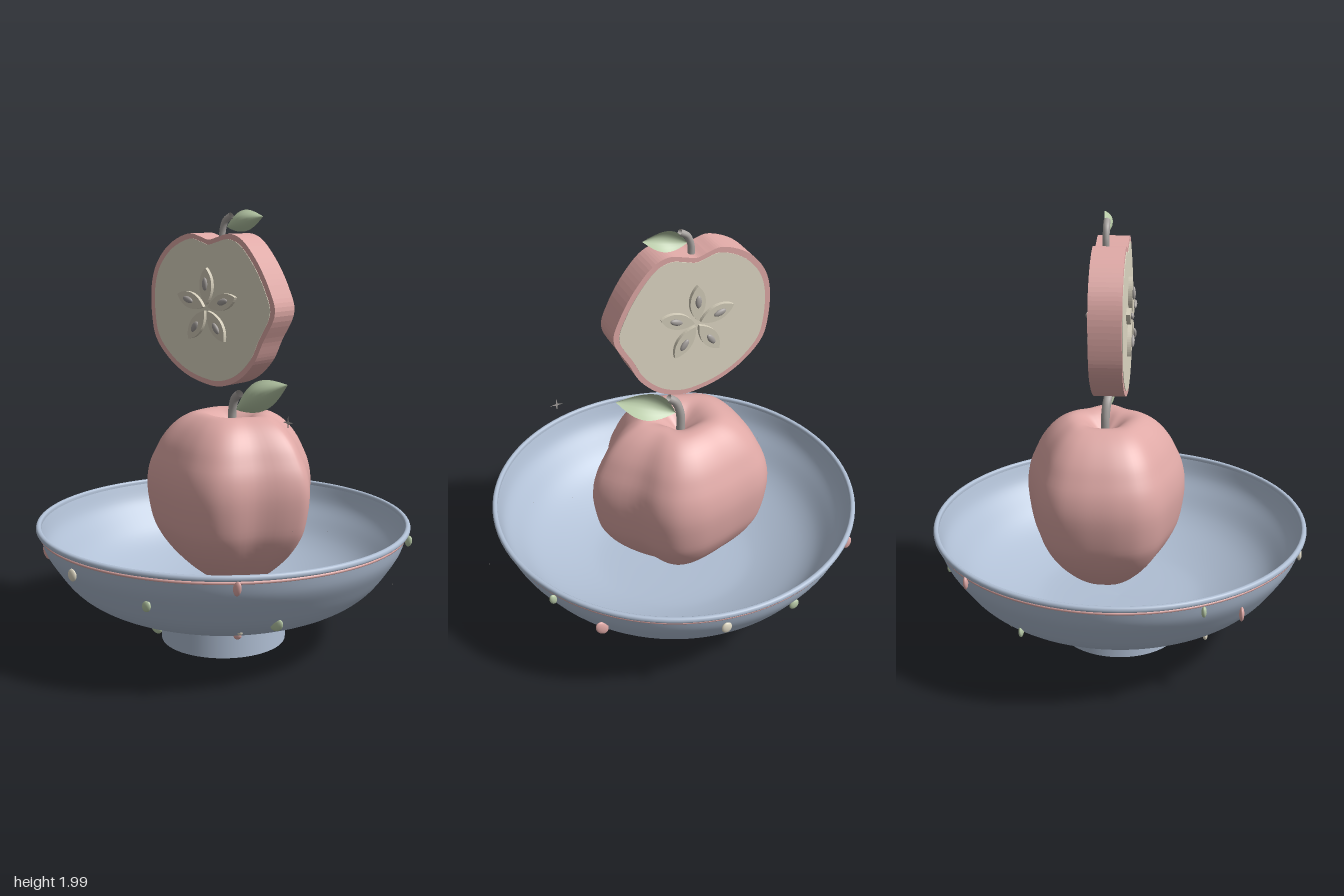
import * as THREE from 'three';
import { mergeVertices } from 'three/addons/utils/BufferGeometryUtils.js';

const mat = (name, color, side = THREE.FrontSide) => {
  const m = new THREE.MeshStandardMaterial({ color, side });
  m.name = name;
  return m;
};
const V2 = (p) => new THREE.Vector2(p[0], p[1]);
const V3 = (p) => new THREE.Vector3(p[0], p[1], p[2]);
const smooth = (pts, n) => new THREE.SplineCurve(pts.map(V2)).getPoints(n);

export function createModel() {
  const model = new THREE.Group();
  const blue = mat('glaze blue', 0xb0bfd4);
  const pink = mat('apple pink', 0xdfa9a6);
  const cream = mat('flesh cream', 0xdfd8c4);
  const pocketCream = mat('pocket cream', 0xd3ccb9);
  const green = mat('leaf green', 0xb6c8a6, THREE.DoubleSide);
  const grey = mat('stem grey', 0xa5a09d, THREE.DoubleSide);

  const add = (name, geo, m, pos = [0, 0, 0], parent = model) => {
    const mesh = new THREE.Mesh(geo, m);
    mesh.name = name;
    mesh.position.set(...pos);
    parent.add(mesh);
    return mesh;
  };

  // Bowl: foot, outer wall, lip and inner wall
  const cx = -0.033;
  add('bowlFoot', new THREE.CylinderGeometry(0.293, 0.293, 0.135, 64), blue, [cx, 0.0675, 0]);
  const outer = smooth([[0, 0.13], [0.33, 0.134], [0.41, 0.155], [0.47, 0.177], [0.62, 0.24],
    [0.715, 0.31], [0.79, 0.41], [0.83, 0.48], [0.85, 0.55]], 40);
  const inner = smooth([[0.842, 0.56], [0.815, 0.48], [0.765, 0.41], [0.69, 0.325],
    [0.59, 0.26], [0.44, 0.2], [0.3, 0.175], [0, 0.165]], 40);
  const lip = smooth([[0.85, 0.553], [0.863, 0.557], [0.866, 0.567], [0.862, 0.577],
    [0.852, 0.58], [0.843, 0.575], [0.842, 0.56]], 16);
  add('bowlOuterWall', new THREE.LatheGeometry(outer, 96), blue, [cx, 0, 0]);
  add('bowlInnerWall', new THREE.LatheGeometry(inner, 96), blue, [cx, 0, 0]);
  add('bowlRim', new THREE.LatheGeometry(lip, 96), blue, [cx, 0, 0]);
  add('rimStripe', new THREE.TorusGeometry(0.849, 0.007, 8, 96).rotateX(Math.PI / 2), pink, [cx, 0.546, 0]);

  // Flat drops set in the bowl wall, repeated by a half turn: x, y, z, half width, half height, tilt
  const drops = [
    [-0.762, 0.52, 0.4, 0.017, 0.026, 0.2, green], [-0.132, 0.48, 0.83, 0.024, 0.028, 0, cream],
    [-0.6, 0.425, 0.56, 0.027, 0.038, 0.5, pink], [0.24, 0.41, 0.765, 0.022, 0.026, -0.5, green],
    [0.597, 0.525, 0.615, 0.02, 0.032, -0.2, pink], [-0.472, 0.24, 0.41, 0.027, 0.02, -0.5, cream],
    [0.026, 0.178, 0.482, 0.03, 0.021, 0, green], [0.613, 0.31, 0.38, 0.036, 0.026, 0.5, green],
    [0.47, 0.262, 0.445, 0.014, 0.014, 0, cream], [0.316, 0.155, 0.275, 0.022, 0.016, 0.4, pink]];
  for (const turn of [0, Math.PI]) {
    const ring = new THREE.Group();
    ring.name = turn ? 'backDrops' : 'frontDrops';
    ring.position.x = cx;
    ring.rotation.y = turn;
    for (const [x, y, z, w, h, tilt, m] of drops) {
      const d = add('drop', new THREE.SphereGeometry(1, 16, 12), m, [x, y, z], ring);
      d.scale.set(w, h, 0.011);
      d.rotation.z = tilt;
    }
    model.add(ring);
  }

  // Whole apple: a lathe whose cross-section follows a lobed outline
  const half = [[0.395, 0.07], [0.3, 0.175], [0.24, 0.285], [0.17, 0.345], [0.07, 0.367],
    [-0.04, 0.352], [-0.16, 0.315], [-0.3, 0.262], [-0.365, 0.19], [-0.39, 0.1]];
  const lobes = [[0.43, 0], ...half.map(([x, z]) => [x, -z]), [-0.395, 0], ...half.slice().reverse()];
  const lobeCurve = new THREE.CatmullRomCurve3(lobes.map(([x, z]) => V3([x, 0, z])), true);
  const profile = smooth([[0, 0.29], [0.12, 0.258], [0.28, 0.275], [0.5, 0.335], [0.72, 0.42],
    [0.87, 0.505], [0.95, 0.585], [1, 0.72], [0.97, 0.82], [0.885, 0.9], [0.8, 0.96], [0.68, 1.015],
    [0.55, 1.052], [0.42, 1.07], [0.28, 1.06], [0.14, 1.02], [0.04, 0.985], [0, 0.98]], 56);
  const N = 90;
  let apple = new THREE.LatheGeometry(profile, N);
  const pos = apple.attributes.position;
  for (let i = 0; i < pos.count; i++) {
    const p = lobeCurve.getPoint((Math.floor(i / profile.length) % N) / N);
    const q = profile[i % profile.length];
    pos.setXYZ(i, p.x * q.x, q.y, p.z * q.x);
  }
  apple.deleteAttribute('normal');
  apple.deleteAttribute('uv');
  apple = mergeVertices(apple, 1e-5);
  apple.computeVertexNormals();
  add('wholeApple', apple, pink, [-0.03, 0, -0.068]);

  // Apple slice: skin slab with a flesh face on both sides
  const sc = [-0.075, 1.555];
  const outline = [[-0.087, 1.862], [-0.14, 1.876], [-0.2, 1.888], [-0.32, 1.84], [-0.405, 1.75],
    [-0.44, 1.65], [-0.44, 1.5], [-0.415, 1.4], [-0.335, 1.31], [-0.23, 1.245], [-0.12, 1.212],
    [-0.02, 1.205], [0.085, 1.242], [0.175, 1.325], [0.225, 1.42], [0.293, 1.555], [0.26, 1.66],
    [0.18, 1.79], [0.1, 1.87], [0.035, 1.89], [-0.03, 1.876]];
  const sliceCurve = new THREE.CatmullRomCurve3(outline.map(([x, y]) => V3([x - sc[0], y - sc[1], 0])), true);
  const sliceShape = (k) => new THREE.Shape(sliceCurve.getPoints(120).map((p) => new THREE.Vector2(p.x * k, p.y * k)));
  const slab = (shape, depth) => new THREE.ExtrudeGeometry(shape, { depth, bevelEnabled: false, curveSegments: 16 });
  add('sliceSkin', slab(sliceShape(1), 0.14), pink, [sc[0], sc[1], -0.102]);
  add('sliceFlesh', slab(sliceShape(0.93), 0.145), cream, [sc[0], sc[1], -0.1045]);

  // Five seed pockets with seeds on each face
  const petal = new THREE.Shape();
  petal.moveTo(0, 0.015);
  petal.bezierCurveTo(0.05, 0.07, 0.045, 0.14, 0, 0.18);
  petal.bezierCurveTo(-0.045, 0.14, -0.05, 0.07, 0, 0.015);
  const seedGeo = new THREE.SphereGeometry(1, 16, 12).scale(0.014, 0.029, 0.009);
  for (const side of [1, -1]) {
    const core = new THREE.Group();
    core.name = side > 0 ? 'frontCore' : 'backCore';
    core.position.set(-0.087, 1.558, -0.031);
    core.rotation.y = side > 0 ? 0 : Math.PI;
    for (let i = 0; i < 5; i++) {
      const arm = new THREE.Group();
      arm.name = 'coreArm';
      arm.rotation.z = (i * Math.PI * 2) / 5;
      add('seedPocket', slab(petal, 0.018), pocketCream, [0, 0, 0.073], arm);
      add('seed', seedGeo, grey, [0, 0.108, 0.095], arm);
      core.add(arm);
    }
    model.add(core);
  }

  // Stems and curled leaves
  const stem = (name, pts, r) =>
    add(name, new THREE.TubeGeometry(new THREE.CatmullRomCurve3(pts.map(V3)), 20, r, 12), grey);
  stem('appleStem', [[-0.035, 0.97, -0.068], [-0.033, 1.08, -0.066], [-0.012, 1.14, -0.06], [0.02, 1.165, -0.055]], 0.02);
  stem('sliceStem', [[-0.083, 1.85, -0.055], [-0.082, 1.9, -0.055], [-0.065, 1.945, -0.055], [-0.03, 1.968, -0.055]], 0.015);
  const leaf = (name, length, halfWidth, angle, at) => {
    const g = new THREE.PlaneGeometry(1, 2, 20, 8);
    const p = g.attributes.position;
    for (let i = 0; i < p.count; i++) {
      const t = p.getX(i) + 0.5, v = p.getY(i);
      const w = Math.sin(Math.PI * Math.pow(t, 0.9)) * halfWidth;
      p.setXYZ(i, t * length, v * w + 0.03 * length * Math.sin(Math.PI * t),
        length * 0.13 * Math.sin(Math.PI * t) * (1 - 1.3 * v * v) - 0.03 * length * t);
    }
    g.computeVertexNormals();
    add(name, g, green, at).rotation.z = angle;
  };
  leaf('appleLeaf', 0.325, 0.068, 0.46, [-0.01, 1.085, -0.065]);
  leaf('sliceLeaf', 0.21, 0.047, 0.23, [-0.062, 1.917, -0.06]);

  // Four-point sparkle and tiny crumbs beside the bowl
  const sparkle = (name, r, at) => {
    const s = new THREE.Shape();
    for (let i = 0; i < 8; i++) {
      const a = (i * Math.PI) / 4, k = i % 2 ? r * 0.2 : r;
      s[i ? 'lineTo' : 'moveTo'](Math.cos(a) * k, Math.sin(a) * k);
    }
    add(name, new THREE.ShapeGeometry(s), grey, at);
  };
  sparkle('sparkle', 0.031, [0.47, 1.118, 0.17]);
  [[0.897, 0.457, 0], [-0.54, 0.675, 0.1], [0.445, 0.625, 0.1], [0.635, 0.66, 0.1]]
    .forEach((at) => sparkle('crumb', 0.004, at));

  return model;
}
